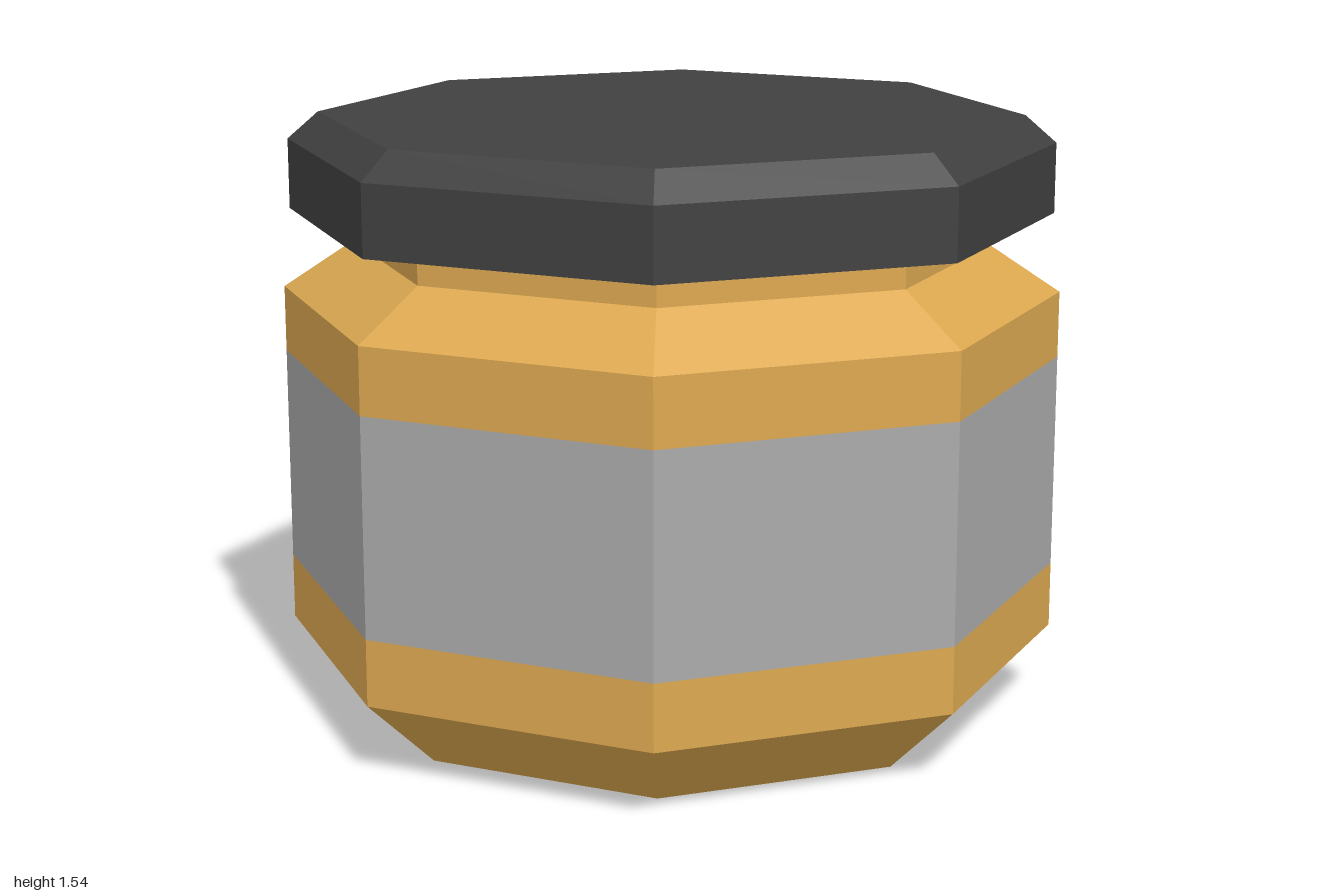
import * as THREE from 'three';

const SIDES = 8;

// Faceted octagonal ring or solid from a [radius, height] profile, listed bottom to top
function turned(name, profile, material) {
  const points = profile.map(([r, y]) => new THREE.Vector2(r, y));
  const geometry = new THREE.LatheGeometry(points, SIDES).toNonIndexed();
  geometry.computeVertexNormals(); // one normal per face
  const mesh = new THREE.Mesh(geometry, material);
  mesh.name = name;
  return mesh;
}

export function createModel() {
  const amber = new THREE.MeshStandardMaterial({ color: 0xdca850 });
  amber.name = 'amber contents';
  const grey = new THREE.MeshStandardMaterial({ color: 0xaaaaaa });
  grey.name = 'grey label';
  const black = new THREE.MeshStandardMaterial({ color: 0x404040 });
  black.name = 'charcoal lid';

  const jar = new THREE.Group();
  jar.name = 'jar';
  jar.add(
    // Floor, bevelled foot and the wall below the label
    turned('jarBase', [[0, 0], [0.8, 0], [1, 0.19], [1, 0.36]], amber),
    // Label band, flush with the wall
    turned('label', [[1, 0.36], [1, 0.915]], grey),
    // Wall above the label, sloping shoulder and neck
    turned('jarShoulder', [[1, 0.915], [1, 1.085], [0.82, 1.205], [0.82, 1.29]], amber),
    // Closed lid with a bevelled upper rim
    turned('lid', [[0, 1.29], [0.98, 1.29], [0.98, 1.47], [0.9, 1.54], [0, 1.54]], black)
  );
  return jar;
}
